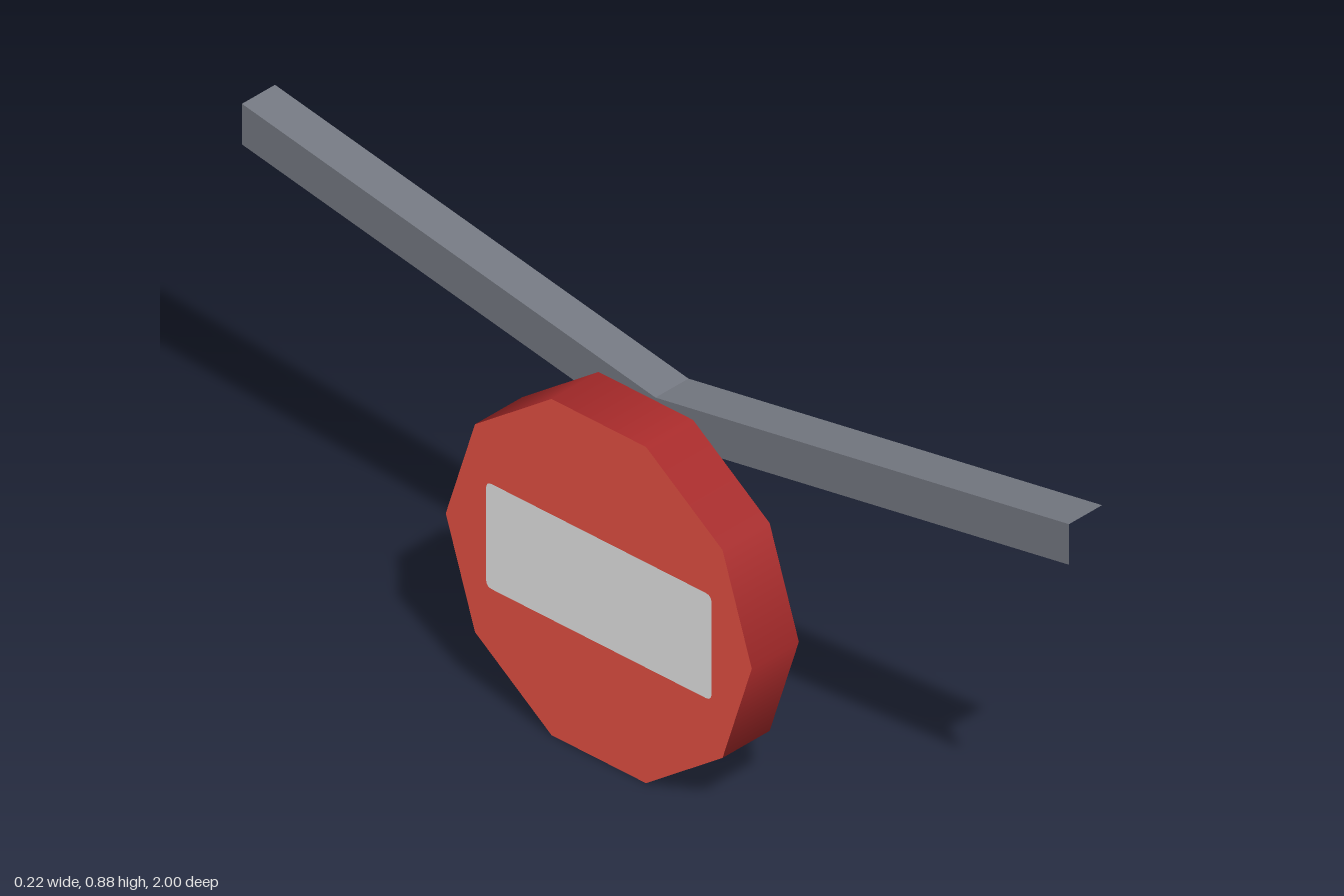
import * as THREE from 'three';

const material = (name, color) => {
  const m = new THREE.MeshStandardMaterial({ color, side: THREE.DoubleSide });
  m.name = name;
  return m;
};

const RADIUS = 0.37, SIDES = 10;
const BACK = -0.11, FRONT = 0.011; // x extent of the round housing
const ARM_INNER = 0.023, ARM_OUTER = 0.108, FLANGE = 0.085;
const ARM_LOW = 0.7, ARM_RISE = 0.175;

function roundedRect(path, w, h, r) {
  const x = w / 2, y = h / 2;
  path.moveTo(-x + r, -y);
  path.lineTo(x - r, -y);
  path.quadraticCurveTo(x, -y, x, -y + r);
  path.lineTo(x, y - r);
  path.quadraticCurveTo(x, y, x - r, y);
  path.lineTo(-x + r, y);
  path.quadraticCurveTo(-x, y, -x, y - r);
  path.lineTo(-x, -y + r);
  path.quadraticCurveTo(-x, -y, -x + r, -y);
  return path;
}

// Bends a sheet lying along z into a shallow V with a crisp crease
function bend(sheet) {
  const p = sheet.attributes.position;
  for (let i = 0; i < p.count; i++) {
    p.setY(i, p.getY(i) + ARM_LOW + ARM_RISE * Math.abs(p.getZ(i)));
  }
  const flat = sheet.toNonIndexed();
  flat.computeVertexNormals();
  return flat;
}

export function createModel() {
  const model = new THREE.Group();
  const rimRed = material('dark red', 0xa82a2a);
  const discRed = material('bright red', 0xfa594a);
  const white = material('white', 0xfcfcfc);
  const grey = material('steel grey', 0x757982);

  const add = (parent, name, geometry, mat) => {
    const mesh = new THREE.Mesh(geometry, mat);
    mesh.name = name;
    parent.add(mesh);
    return mesh;
  };

  // Round ten-sided sign: a shallow cup open towards +x
  const sign = new THREE.Group();
  sign.name = 'roundSign';
  sign.position.set(0, RADIUS * Math.sin(Math.PI * 0.4), -0.012);
  model.add(sign);

  const rim = new THREE.CylinderGeometry(RADIUS, RADIUS, FRONT - BACK, SIDES, 1, true);
  rim.rotateZ(Math.PI / 2);
  add(sign, 'rim', rim, rimRed).position.x = (FRONT + BACK) / 2;

  // Disc with a slot that the white bar fills exactly
  const outline = new THREE.Shape();
  for (let i = 0; i < SIDES; i++) {
    const a = (i / SIDES) * Math.PI * 2;
    const x = RADIUS * Math.cos(a), y = RADIUS * Math.sin(a);
    if (i === 0) outline.moveTo(x, y);
    else outline.lineTo(x, y);
  }
  outline.closePath();
  outline.holes.push(roundedRect(new THREE.Path(), 0.545, 0.22, 0.014));
  const disc = new THREE.ShapeGeometry(outline, 4);
  disc.rotateY(Math.PI / 2);
  add(sign, 'disc', disc, discRed).position.x = BACK;

  const bar = new THREE.ShapeGeometry(roundedRect(new THREE.Shape(), 0.545, 0.22, 0.014), 4);
  bar.rotateY(Math.PI / 2);
  add(sign, 'whiteBar', bar, white).position.x = BACK;

  // V-shaped angle bracket: top sheet and hanging side flange
  const bracket = new THREE.Group();
  bracket.name = 'bracket';
  model.add(bracket);

  const top = new THREE.PlaneGeometry(ARM_OUTER - ARM_INNER, 2, 1, 2);
  top.rotateX(-Math.PI / 2);
  top.translate((ARM_INNER + ARM_OUTER) / 2, 0, 0);
  add(bracket, 'topFlange', bend(top), grey);

  const side = new THREE.PlaneGeometry(2, FLANGE, 2, 1);
  side.rotateY(Math.PI / 2);
  side.translate(ARM_INNER, -FLANGE / 2, 0);
  add(bracket, 'sideFlange', bend(side), grey);

  return model;
}
